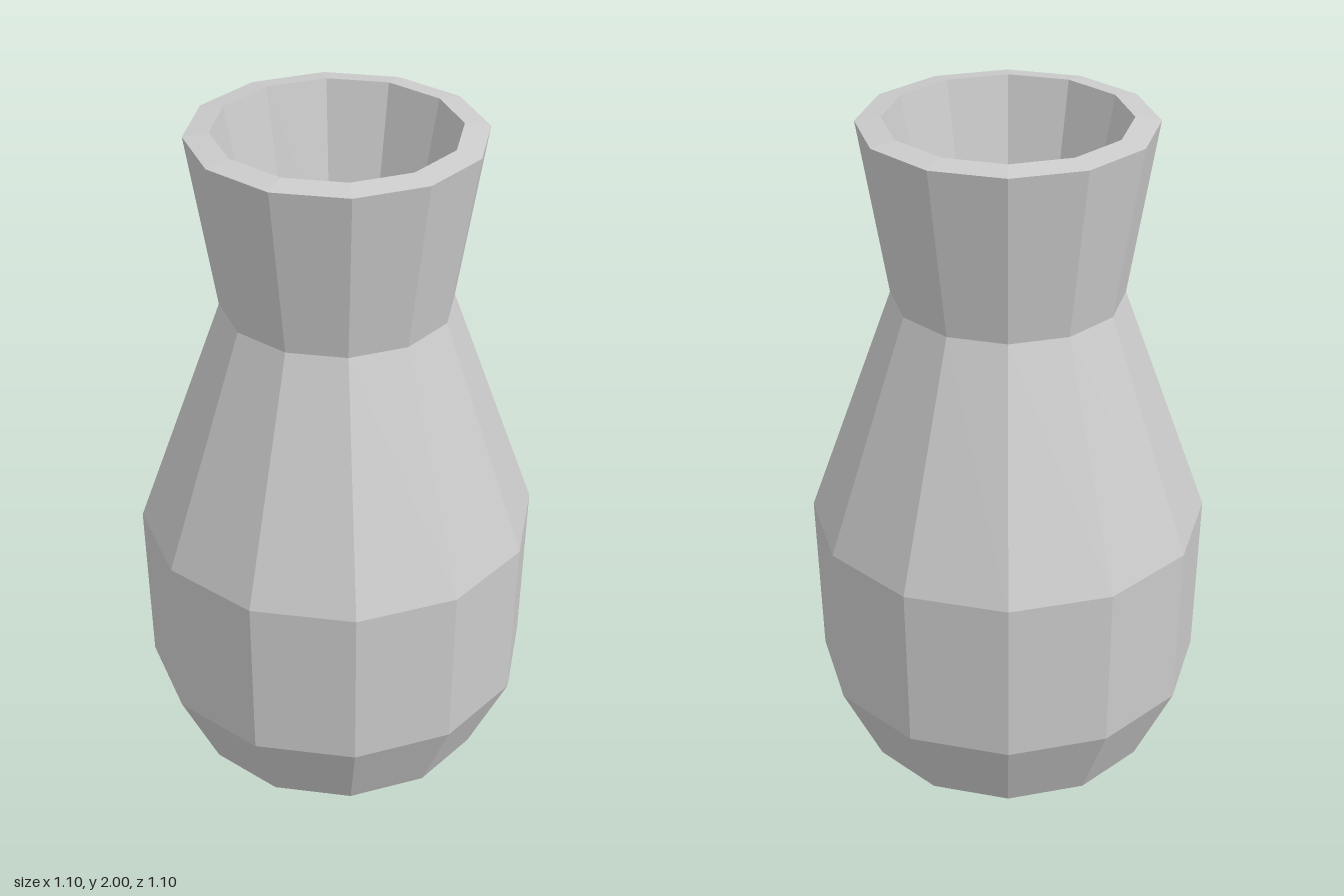
import * as THREE from 'three';

const SIDES = 12;

// Outer wall, from the centre of the base up to the rim: [radius, height]
const OUTER = [
  [0, 0], [0.257, 0], [0.423, 0.13], [0.538, 0.375],
  [0.55, 0.85], [0.315, 1.51], [0.393, 1.99],
];

// Inner wall, from the rim down to the centre of the hollow's floor
const INNER = [
  [0.325, 2], [0.228, 1.51], [0.475, 0.835],
  [0.467, 0.39], [0.365, 0.18], [0.236, 0.07], [0, 0.07],
];

function turned(name, profile, material) {
  const points = profile.map(([r, y]) => new THREE.Vector2(r, y));
  const mesh = new THREE.Mesh(new THREE.LatheGeometry(points, SIDES), material);
  mesh.name = name;
  return mesh;
}

export function createModel() {
  const material = new THREE.MeshStandardMaterial({ color: 0xcccccc, flatShading: true });
  const vase = new THREE.Group();
  vase.name = 'vase';
  vase.add(
    turned('outerWall', OUTER, material),
    turned('rim', [OUTER.at(-1), INNER[0]], material),
    turned('innerWall', INNER, material),
  );
  return vase;
}
